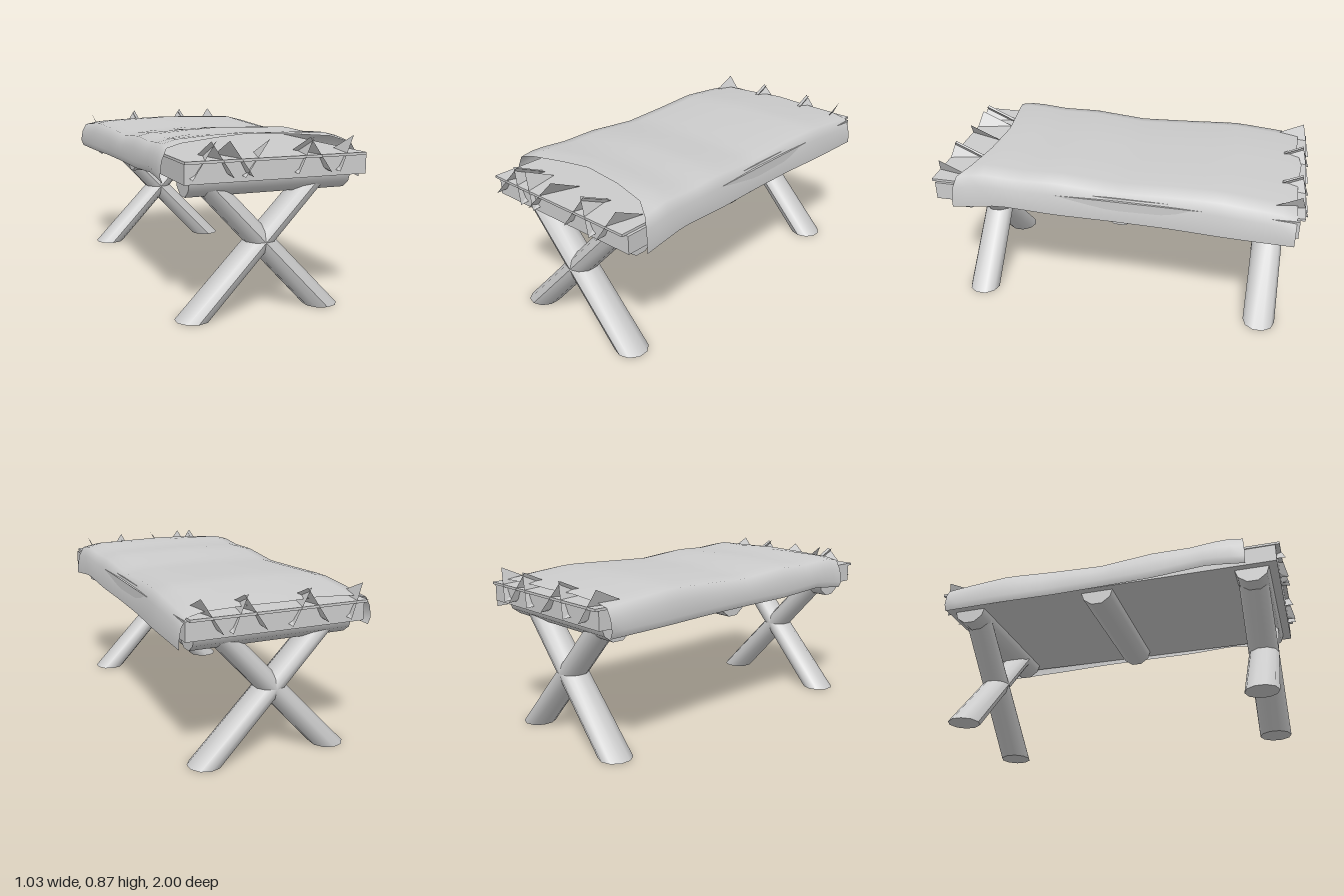
import * as THREE from 'three';

const grey = new THREE.MeshStandardMaterial({ color: 0xcccccc });
const thin = new THREE.MeshStandardMaterial({ color: 0xcccccc, side: THREE.DoubleSide });

function addMesh(group, name, geometry, material = grey) {
  const mesh = new THREE.Mesh(geometry, material);
  mesh.name = name;
  group.add(mesh);
  return mesh;
}

// Box given by its min and max corners
function slab(x0, x1, y0, y1, z0, z1) {
  return new THREE.BoxGeometry(x1 - x0, y1 - y0, z1 - z0)
    .translate((x0 + x1) / 2, (y0 + y1) / 2, (z0 + z1) / 2);
}

// Log sheared sideways, so both ends stay level
function slantedLog(xBottom, xTop, z) {
  const y0 = 0.007, y1 = 0.68;
  const geo = new THREE.CylinderGeometry(0.08, 0.088, y1 - y0, 10);
  const p = geo.attributes.position;
  for (let i = 0; i < p.count; i++) {
    const t = p.getY(i) / (y1 - y0) + 0.5;
    p.setX(i, p.getX(i) + THREE.MathUtils.lerp(xBottom, xTop, t));
    p.setY(i, y0 + t * (y1 - y0));
    p.setZ(i, p.getZ(i) + z);
  }
  geo.computeVertexNormals();
  return geo;
}

// Piecewise-linear lookup in [key, value] pairs
function sample(pairs, k) {
  for (let i = 1; i < pairs.length; i++) {
    const [a, va] = pairs[i - 1], [b, vb] = pairs[i];
    if (k <= b) return va + (vb - va) * Math.max(0, (k - a) / (b - a));
  }
  return pairs[pairs.length - 1][1];
}

// Draped hide: an arched section swept along z with uneven ends and height
function hideGeometry() {
  const section = [[-0.495, 0.665], [-0.51, 0.70], [-0.50, 0.77], [-0.475, 0.825], [-0.40, 0.84],
    [-0.2, 0.85], [-0.03, 0.855], [0.2, 0.85], [0.39, 0.845], [0.475, 0.825], [0.50, 0.77],
    [0.51, 0.70], [0.51, 0.66]];
  const front = [[-0.51, 0.8], [-0.3, 0.755], [-0.03, 0.715], [0.2, 0.735], [0.4, 0.78], [0.51, 0.86]];
  const back = [[-0.51, -0.93], [-0.2, -0.925], [0, -0.955], [0.2, -0.935], [0.51, -0.94]];
  const rise = [[-0.95, -0.03], [-0.8, -0.012], [-0.55, 0.012], [-0.3, 0.004], [0, -0.008],
    [0.3, 0.018], [0.5, 0.012], [0.7, 0.028], [0.86, 0.0]];
  const hem = [[-0.95, -0.008], [0, 0.008], [0.3, 0.012], [0.6, 0.032], [0.86, 0]];
  const pinch = [[-0.95, 0.003], [-0.6, 0], [-0.3, -0.015], [0, -0.016], [0.4, -0.008], [0.86, 0.003]];
  const rows = 24, n = section.length, pos = [], index = [];
  for (let r = 0; r <= rows; r++) {
    for (const [x, y] of section) {
      const z = THREE.MathUtils.lerp(sample(back, x), sample(front, x), r / rows);
      const top = THREE.MathUtils.clamp((y - 0.7) / 0.13, 0, 1);
      pos.push(x + Math.sign(x) * sample(pinch, z) * Math.min(1, Math.abs(x) * 2),
        y + top * sample(rise, z) + (1 - top) * sample(hem, z), z);
    }
  }
  for (let r = 0; r < rows; r++) {
    for (let c = 0; c < n - 1; c++) {
      const a = r * n + c, b = a + n;
      index.push(a, b, a + 1, b, b + 1, a + 1);
    }
  }
  const geo = new THREE.BufferGeometry();
  geo.setAttribute('position', new THREE.Float32BufferAttribute(pos, 3));
  geo.setIndex(index);
  geo.computeVertexNormals();
  return geo;
}

// Stiff slanting blade poking out from beneath the hide
function bladeGeometry(xLow, xTop, end) {
  const geo = new THREE.BufferGeometry();
  geo.setAttribute('position', new THREE.Float32BufferAttribute([
    xLow, 0.715, end, xTop, 0.88, 0.955 * end,
    xTop, 0.80, 0.78 * end, xLow, 0.73, 0.8 * end], 3));
  geo.setIndex([0, 1, 2, 0, 2, 3]);
  const flat = geo.toNonIndexed();
  flat.computeVertexNormals();
  return flat;
}

export function createModel() {
  const model = new THREE.Group();
  model.name = 'table';

  // Table top
  addMesh(model, 'board', slab(-0.45, 0.49, 0.69, 0.785, -0.955, 0.955));
  addMesh(model, 'topSheet', slab(-0.455, 0.475, 0.785, 0.798, -0.978, 0.978));
  addMesh(model, 'hideCover', hideGeometry(), thin);

  // Crossbeams under the board
  for (const z of [-0.82, -0.04, 0.82]) {
    const beam = new THREE.CylinderGeometry(0.095, 0.095, 0.84, 10).rotateZ(Math.PI / 2);
    addMesh(model, 'crossbeam', beam.translate(0.01, 0.703, z));
  }

  // Crossed log legs at each end
  for (const z of [-0.815, 0.815]) {
    const legs = new THREE.Group();
    legs.name = 'crossedLegs';
    addMesh(legs, 'leg', slantedLog(-0.36, 0.28, z));
    addMesh(legs, 'leg', slantedLog(0.335, -0.305, z));
    model.add(legs);
  }

  // Blades at both ends: [lower x, upper x]
  const frontBlades = [[-0.425, -0.295], [-0.225, -0.32], [-0.17, -0.03], [-0.13, -0.23],
    [0.10, 0.2], [0.275, 0.18], [0.32, 0.415]];
  const backBlades = [[-0.35, -0.435], [-0.225, -0.13], [-0.03, -0.15], [0.1, 0.2],
    [0.275, 0.18], [0.32, 0.415]];
  for (const [list, end] of [[frontBlades, 1], [backBlades, -1]]) {
    for (const [low, top] of list) addMesh(model, 'blade', bladeGeometry(low, top, end), thin);
  }
  return model;
}
